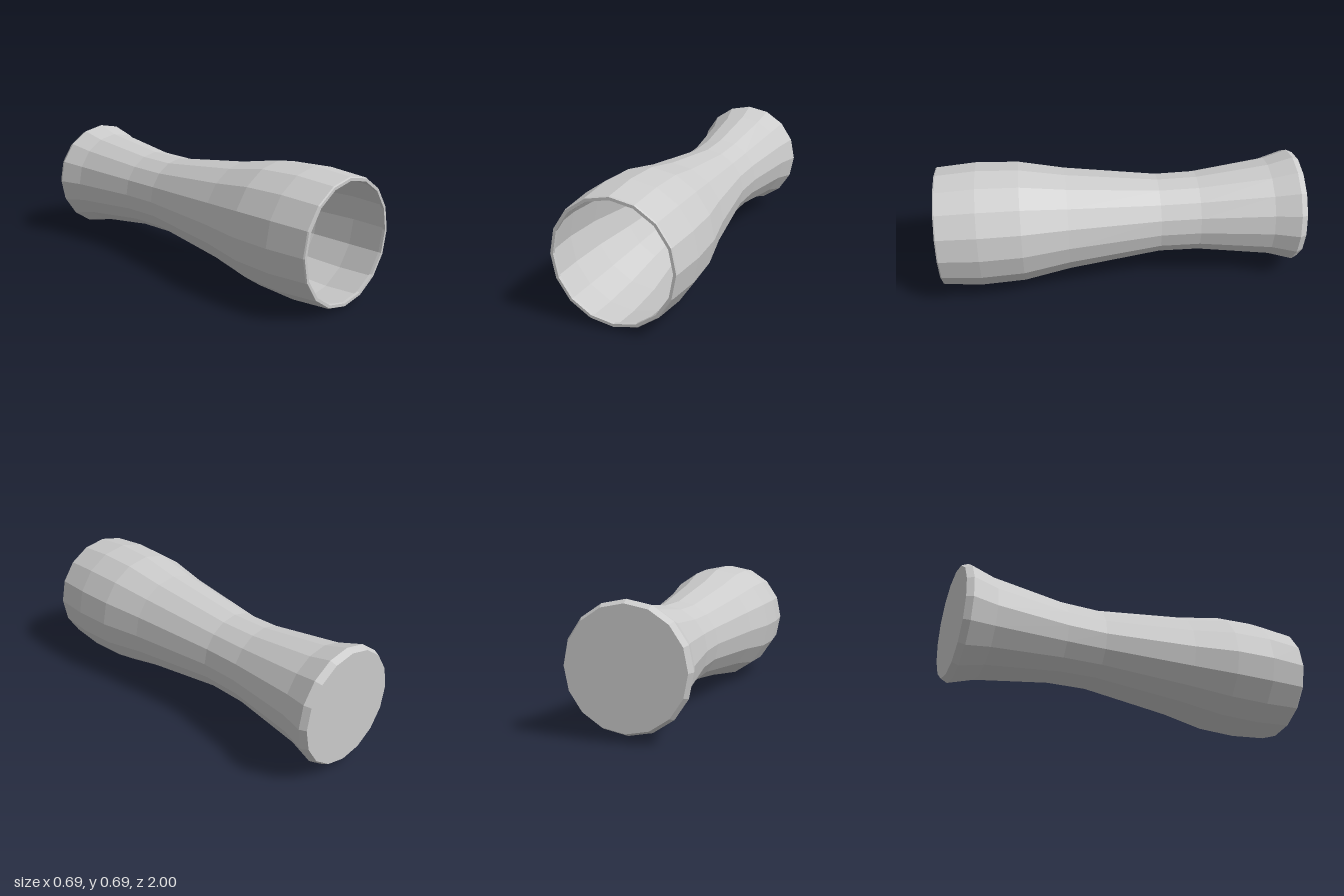
import * as THREE from 'three';

const SIDES = 16;
const AXIS_HEIGHT = 0.345;

export function createModel() {
  const group = new THREE.Group();
  const material = new THREE.MeshStandardMaterial({
    color: 0xcccccc, flatShading: true, side: THREE.DoubleSide,
  });

  // Turns a [radius, z] profile around the horizontal z axis.
  function turned(name, profile) {
    const points = profile.map(([r, z]) => new THREE.Vector2(r, z));
    const geometry = new THREE.LatheGeometry(points, SIDES);
    geometry.rotateX(Math.PI / 2);
    const mesh = new THREE.Mesh(geometry, material);
    mesh.name = name;
    mesh.position.y = AXIS_HEIGHT;
    group.add(mesh);
  }

  // Closed back end with its flared, bevelled edge
  turned('base', [[0, -1], [0.3, -1], [0.317, -0.965]]);

  // Thin waisted wall, hollow inside
  turned('body', [
    [0.317, -0.965], [0.277, -0.83], [0.225, -0.43], [0.222, -0.21],
    [0.287, 0.3], [0.335, 0.55], [0.345, 0.78], [0.329, 0.993],
  ]);

  // Narrow lip around the open front
  turned('rim', [[0.329, 0.993], [0.325, 1], [0.31, 1], [0.309, 0.985]]);

  return group;
}
